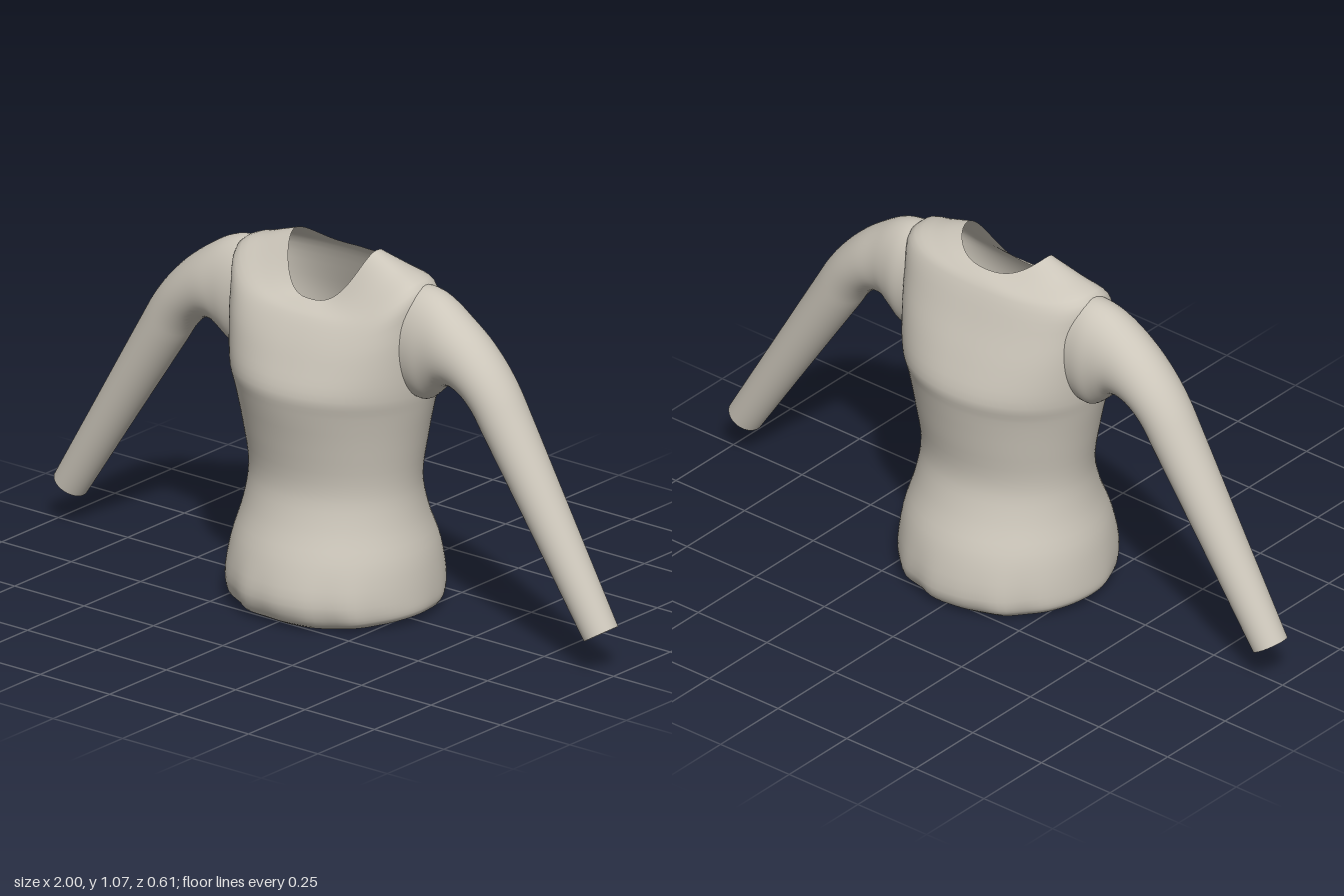
import * as THREE from 'three';

// Smooth open skin through a list of closed rings with equal point counts
function loft(rings, steps) {
  const n = rings[0].length;
  const rows = (rings.length - 1) * steps;
  const positions = new Float32Array((rows + 1) * n * 3);
  const index = [];
  for (let j = 0; j < n; j++) {
    const column = new THREE.CatmullRomCurve3(rings.map((ring) => ring[j]));
    for (let i = 0; i <= rows; i++) column.getPoint(i / rows).toArray(positions, (i * n + j) * 3);
  }
  for (let i = 0; i < rows; i++) {
    for (let j = 0; j < n; j++) {
      const a = i * n + j;
      const b = i * n + ((j + 1) % n);
      index.push(a, a + n, b, b, a + n, b + n);
    }
  }
  const geometry = new THREE.BufferGeometry();
  geometry.setAttribute('position', new THREE.BufferAttribute(positions, 3));
  geometry.setIndex(index);
  geometry.computeVertexNormals();
  return geometry;
}

// Body ring: half width, front and back depth, height at side, front and back
function bodyRing([w, zf, zb, ys, yf, yb, power = 2, ripple = 0]) {
  const points = [];
  const count = 96;
  for (let j = 0; j < count; j++) {
    const t = (j / count) * Math.PI * 2;
    const c = Math.cos(t);
    const s = Math.sin(t);
    const round = (v) => Math.sign(v) * Math.abs(v) ** (2 / power);
    const fold = 1 + ripple * (Math.sin(11 * t) + 0.6 * Math.sin(17 * t + 1)) * Math.abs(s);
    const yMid = s > 0 ? yf : yb;
    points.push(new THREE.Vector3(
      w * round(c) * fold,
      yMid + (ys - yMid) * Math.abs(c) ** 3,
      (s > 0 ? zf : zb) * round(s) * fold,
    ));
  }
  return points;
}

// Sleeve ring: upper point, lower point, half depth, z offset
function sleeveRing([ux, uy, lx, ly, depth, offset = 0], side) {
  const points = [];
  const count = 48;
  for (let j = 0; j < count; j++) {
    const t = (j / count) * Math.PI * 2;
    const k = (1 + Math.cos(t)) / 2;
    points.push(new THREE.Vector3(
      side * (lx + (ux - lx) * k),
      ly + (uy - ly) * k,
      offset - side * depth * Math.sin(t),
    ));
  }
  return points;
}

export function createModel() {
  const model = new THREE.Group();
  model.name = 'longSleevedTop';
  const cloth = new THREE.MeshStandardMaterial({ color: 0xccc6ba, side: THREE.DoubleSide });
  cloth.name = 'warm grey cloth';

  const add = (name, geometry) => {
    const mesh = new THREE.Mesh(geometry, cloth);
    mesh.name = name;
    model.add(mesh);
  };

  // Torso from the gathered hem through waist and chest to the neckline
  const body = [
    [0.305, 0.25, 0.262, 0.025, 0.002, 0.002, 2, 0.008],
    [0.312, 0.287, 0.292, 0.04, 0.025, 0.025, 2, 0.012],
    [0.312, 0.308, 0.306, 0.08, 0.08, 0.065, 2, 0.006],
    [0.3, 0.286, 0.286, 0.18, 0.18, 0.18],
    [0.272, 0.24, 0.24, 0.29, 0.29, 0.29],
    [0.262, 0.216, 0.214, 0.39, 0.39, 0.39],
    [0.28, 0.232, 0.23, 0.52, 0.52, 0.52],
    [0.302, 0.254, 0.248, 0.63, 0.63, 0.63],
    [0.312, 0.26, 0.256, 0.685, 0.685, 0.685, 2.1],
    [0.32, 0.232, 0.227, 0.8, 0.765, 0.78, 2.3],
    [0.324, 0.2, 0.186, 0.91, 0.835, 0.88, 2.45],
    [0.322, 0.165, 0.145, 1.0, 0.89, 0.98, 2.45],
    [0.235, 0.14, 0.125, 1.038, 0.91, 1.004, 2.2],
    [0.145, 0.115, 0.1, 1.07, 0.925, 1.02],
  ];
  add('torso', loft(body.map(bodyRing), 4));

  // Sleeves from the armhole over the bent elbow to the open cuff
  const sleeve = [
    [0.29, 1.005, 0.295, 0.675, 0.1, -0.007],
    [0.34, 1.003, 0.335, 0.672, 0.102, -0.007],
    [0.39, 0.988, 0.37, 0.698, 0.097, -0.004],
    [0.45, 0.952, 0.4, 0.727, 0.092],
    [0.52, 0.9, 0.435, 0.736, 0.088],
    [0.585, 0.835, 0.475, 0.722, 0.084],
    [0.635, 0.77, 0.515, 0.685, 0.08],
    [0.68, 0.695, 0.555, 0.625, 0.077],
    [0.84, 0.42, 0.733, 0.358, 0.064],
    [1, 0.145, 0.91, 0.09, 0.052],
  ];
  for (const [name, side] of [['leftSleeve', 1], ['rightSleeve', -1]]) {
    add(name, loft(sleeve.map((row) => sleeveRing(row, side)), 4));
  }
  return model;
}
